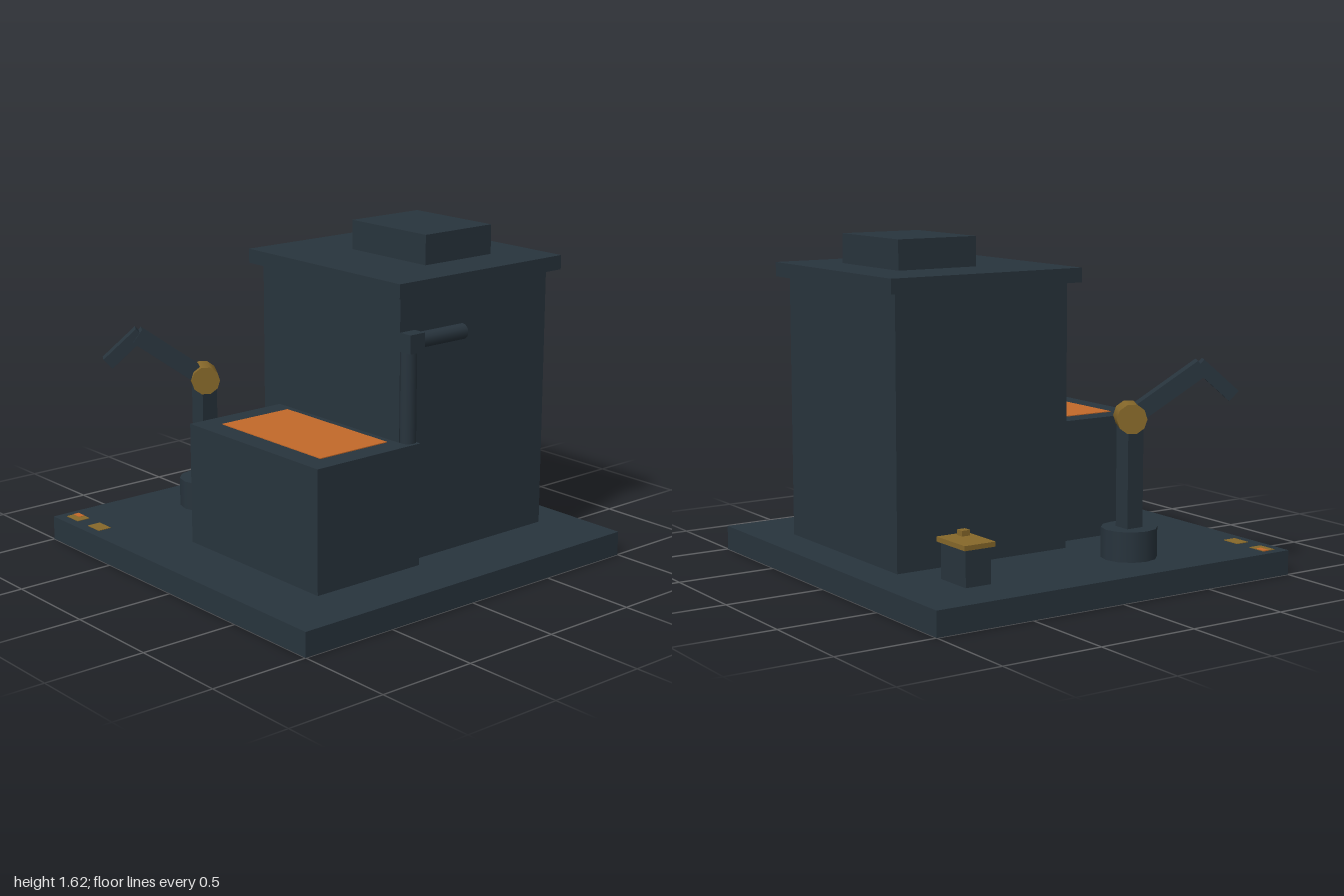
import * as THREE from 'three';

const mat = (name, color) => {
  const m = new THREE.MeshStandardMaterial({ color });
  m.name = name;
  return m;
};

export function createModel() {
  const model = new THREE.Group();
  model.name = 'furnaceStation';
  const steel = mat('dark steel', 0x28343d);
  const brass = mat('dull brass', 0x86682a);
  const ember = mat('ember orange', 0xc2692a);

  const add = (name, geometry, material, parent = model) => {
    const mesh = new THREE.Mesh(geometry, material);
    mesh.name = name;
    parent.add(mesh);
    return mesh;
  };
  // Box given by its extents along x, y and z
  const block = (name, [x0, x1], [y0, y1], [z0, z1], material, parent) => {
    const mesh = add(name, new THREE.BoxGeometry(x1 - x0, y1 - y0, z1 - z0), material, parent);
    mesh.position.set((x0 + x1) / 2, (y0 + y1) / 2, (z0 + z1) / 2);
    return mesh;
  };

  // Floor slab and tower
  block('floorSlab', [-1, 1], [0, 0.12], [-1, 1], steel);
  block('tower', [-0.36, 0.64], [0.12, 1.41], [-0.81, 0.14], steel);
  block('roof', [-0.41, 0.69], [1.41, 1.48], [-0.86, 0.19], steel);
  block('roofVent', [-0.075, 0.45], [1.48, 1.625], [-0.62, -0.19], steel);

  // Front hearth with glowing top
  block('hearth', [-0.24, 0.71], [0.12, 0.717], [0.07, 0.69], steel);
  block('emberBed', [-0.13, 0.6], [0.714, 0.721], [0.18, 0.58], ember);

  // Pipe: riser, elbow and run along the tower side
  const riser = add('pipeRiser', new THREE.CylinderGeometry(0.04, 0.04, 1.04, 12), steel);
  riser.position.set(0.655, 0.64, 0.1);
  block('pipeElbow', [0.62, 0.71], [1.15, 1.24], [0.05, 0.14], steel);
  const run = add('pipeRun', new THREE.CylinderGeometry(0.038, 0.038, 0.32, 12), steel);
  run.rotation.x = Math.PI / 2;
  run.position.set(0.657, 1.193, -0.08);

  // Jointed arm: local +z is the reach direction
  const arm = new THREE.Group();
  arm.name = 'roboticArm';
  arm.position.set(-0.67, 0, 0.285);
  model.add(arm);
  const foot = add('armFoot', new THREE.CylinderGeometry(0.135, 0.135, 0.145, 12), steel, arm);
  foot.position.y = 0.1925;
  block('armPost', [-0.045, 0.045], [0.265, 0.785], [-0.045, 0.045], steel, arm);

  const reach = new THREE.Group();
  reach.name = 'armReach';
  reach.position.y = 0.79;
  reach.rotation.y = -Math.PI / 6;
  arm.add(reach);
  const shoulder = add('shoulderJoint', new THREE.CylinderGeometry(0.072, 0.072, 0.14, 10), brass, reach);
  shoulder.rotation.z = Math.PI / 2;

  // Limb between two points (z, y) of the reach plane
  const limb = (name, [z0, y0], [z1, y1], size) => {
    const length = Math.hypot(z1 - z0, y1 - y0);
    const mesh = add(name, new THREE.BoxGeometry(size, size, length), steel, reach);
    mesh.position.set(0, (y0 + y1) / 2, (z0 + z1) / 2);
    mesh.rotation.x = -Math.atan2(y1 - y0, z1 - z0);
  };
  limb('upperArm', [0.03, 0.02], [0.335, 0.237], 0.08);
  limb('forearm', [0.32, 0.25], [0.485, 0.1], 0.065);

  // Crate with brass lid and knob
  block('crate', [-0.75, -0.545], [0.12, 0.295], [-0.69, -0.555], steel);
  block('crateLid', [-0.765, -0.53], [0.293, 0.316], [-0.705, -0.54], brass);
  block('lidKnob', [-0.598, -0.556], [0.316, 0.342], [-0.61, -0.568], brass);

  // Floor markers near the front edge
  for (const x of [-0.955, -0.765]) {
    block('floorMarker', [x, x + 0.1], [0.119, 0.123], [0.88, 0.95], brass);
  }
  block('markerAccent', [-0.955, -0.9], [0.12, 0.125], [0.88, 0.912], ember);

  return model;
}
